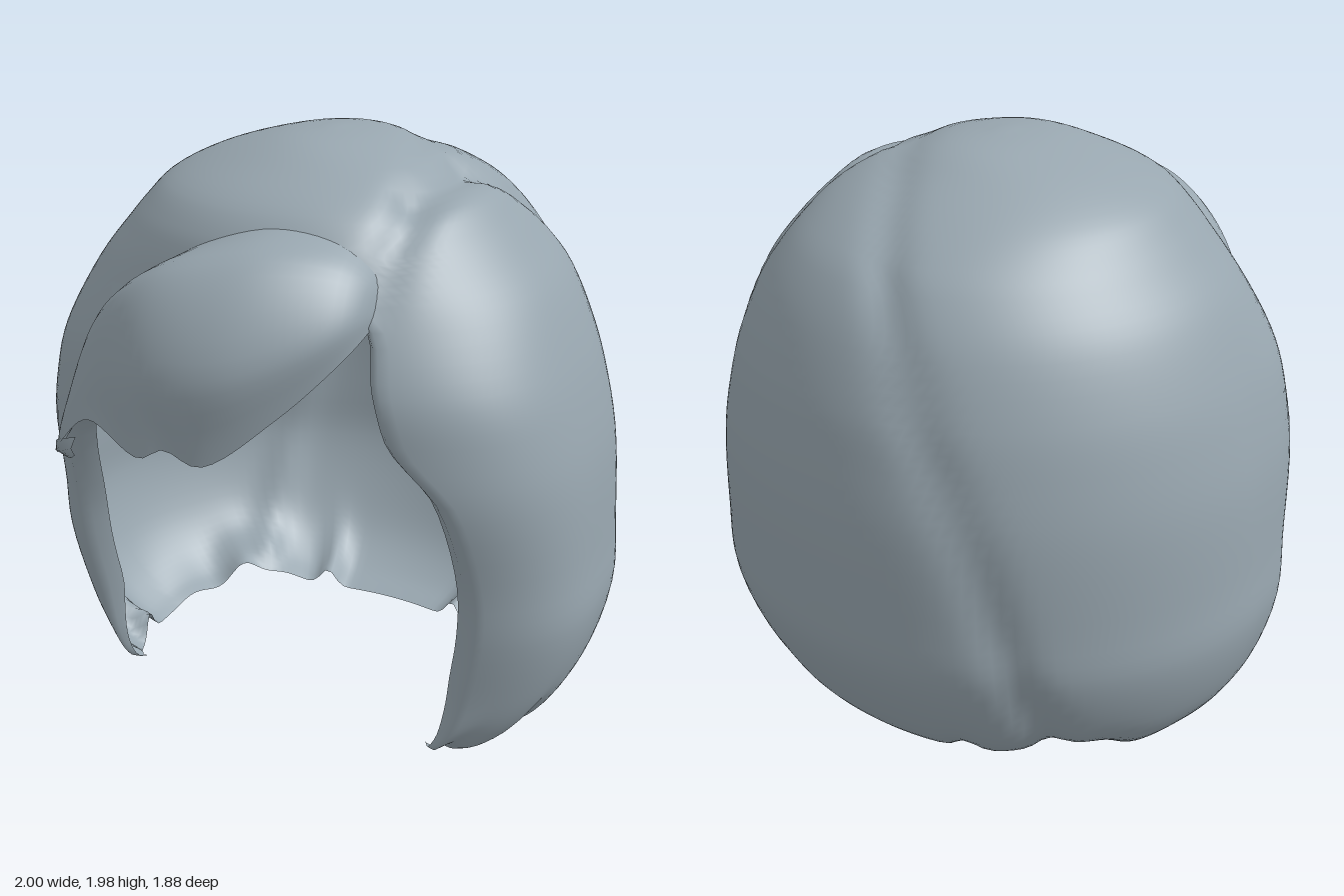
import * as THREE from 'three';
import { mergeVertices } from 'three/addons/utils/BufferGeometryUtils.js';

const V = (x, y, z) => new THREE.Vector3(x, y, z);
const curve = (pts) => new THREE.CatmullRomCurve3(pts.map((p) => V(...p)));

// Smooth sheet from a rule giving a point for each row (downwards) and column
function sheet(rows, cols, pointAt) {
  const pos = [], index = [];
  for (let i = 0; i <= rows; i++) {
    for (let j = 0; j <= cols; j++) {
      pos.push(...pointAt(i / rows, j / cols, j).toArray());
      if (i === rows || j === cols) continue;
      const a = i * (cols + 1) + j, b = a + cols + 1;
      index.push(a, b, a + 1, a + 1, b, b + 1);
    }
  }
  let g = new THREE.BufferGeometry();
  g.setAttribute('position', new THREE.Float32BufferAttribute(pos, 3));
  g.setIndex(index);
  g = mergeVertices(g, 1e-4);
  g.computeVertexNormals();
  return g;
}

// Rings of the hair: height, half width, back depth, front depth, opening angle left and right
const RINGS = [
  [1.98, 0, 0, 0, 0, 0], [1.96, 0.17, 0.22, 0.2, 0, 0], [1.9, 0.38, 0.38, 0.36, 0, 0],
  [1.82, 0.54, 0.54, 0.51, 0, 0], [1.74, 0.62, 0.66, 0.58, 0, 0], [1.67, 0.68, 0.73, 0.61, 0.28, 0.02],
  [1.54, 0.78, 0.81, 0.64, 0.53, 0.15], [1.35, 0.87, 0.88, 0.68, 0.484, 0.32], [1.2, 0.92, 0.91, 0.68, 0.49, 0.42],
  [1.0, 0.965, 0.935, 0.67, 0.68, 0.68], [0.7, 0.99, 0.935, 0.59, 0.74, 0.74], [0.5, 1, 0.92, 0.555, 0.72, 0.72],
  [0.27, 0.94, 0.83, 0.53, 0.72, 0.72], [0.13, 0.86, 0.74, 0.54, 0.755, 0.755], [0.04, 0.77, 0.62, 0.54, 0.8, 0.8],
  [0, 0.7, 0.5, 0.52, 0.87, 0.87],
];
const sides = curve(RINGS.map(([y, w, b]) => [w, y, b]));
const fronts = curve(RINGS.map(([y, , , f]) => [f, y, 0]));
const openings = curve(RINGS.map(([y, , , , l, r]) => [l, y, r]));

// Partings pressed into the surface: points are x, y, z, depth
const GROOVES = [
  // edge of the left side lock
  [[0.43, 1.62, 0.54, 0.02], [0.41, 1.82, 0.25, 0.06], [0.42, 1.86, -0.1, 0.06], [0.56, 1.7, -0.38, 0.035],
    [0.68, 1.45, -0.56, 0.02], [0.78, 1.1, -0.63, 0.01], [0.8, 0.6, -0.62, 0.02], [0.77, 0.25, -0.52, 0.05],
    [0.62, 0.04, -0.38, 0.06]],
  // edge of the main lock, from the crown across the back
  [[0.41, 1.84, 0.25, 0.02], [0.3, 1.92, -0.1, 0.015], [0.1, 1.87, -0.42, 0.015], [-0.08, 1.7, -0.69, 0.025],
    [-0.3, 1.35, -0.83, 0.02], [-0.48, 0.95, -0.81, 0.02], [-0.6, 0.4, -0.7, 0.035], [-0.56, 0.05, -0.42, 0.06]],
];
const GROOVE_WIDTH = 0.065;
const segments = GROOVES.flatMap((path) => path.slice(1).map(([x, y, z, d], i) => {
  const [px, py, pz, pd] = path[i];
  return { line: new THREE.Line3(V(px, py, pz), V(x, y, z)), from: pd, to: d };
}));

// Notches between locks along the hem: angle from the front, height, width
const NOTCHES = [[0.9, 0.05, 0.12], [1.33, 0.09, 0.07], [1.8, 0.03, 0.2], [2.2, 0.1, 0.13], [2.45, 0.05, 0.16], [2.74, 0.07, 0.06]];

function hairPoint(t, u) {
  const s = sides.getPoint(t), f = fronts.getPoint(t), o = openings.getPoint(t);
  const a = THREE.MathUtils.lerp(Math.max(0, o.x), 2 * Math.PI - Math.max(0, o.z), u);
  const c = Math.cos(a), sn = Math.sin(a);
  // the front quarters are squarer than the round back and crown
  const q = c > 0 ? THREE.MathUtils.lerp(0.7, 1, THREE.MathUtils.smoothstep(s.y, 1.2, 1.8)) : 1;
  const p = V(s.x * Math.sign(sn) * Math.abs(sn) ** q, s.y, c > 0 ? f.x * c ** q : s.z * c);
  const fromFront = Math.min(a, 2 * Math.PI - a);
  const hem = Math.max(0, 1 - p.y / 0.35) ** 2;
  for (const [at, h, w] of NOTCHES) p.y += hem * h * Math.exp(-(((fromFront - at) / w) ** 2));
  const near = V(0, 0, 0);
  let dent = 0;
  for (const { line, from, to } of segments) {
    const k = line.closestPointToPointParameter(p, true);
    line.at(k, near);
    const depth = THREE.MathUtils.lerp(from, to, k);
    dent = Math.max(dent, depth * Math.exp(-((near.distanceTo(p) / GROOVE_WIDTH) ** 2)));
  }
  return p.add(V(-p.x, 0.9 - p.y, -p.z).normalize().multiplyScalar(dent));
}

// Outer hair, with the first and last columns curled inwards at the face
function hairGeometry() {
  const cols = 124, curl = 2;
  return sheet(64, cols, (t, v, j) => {
    const over = Math.max(0, curl - j, j - (cols - curl)) / curl;
    const u = THREE.MathUtils.clamp((j - curl) / (cols - 2 * curl), 0, 1);
    const p = hairPoint(t, u);
    if (over) {
      const o = openings.getPoint(t);
      const angle = Math.max(0, j < curl ? o.x : o.z);
      const k = over * Math.min(1, angle / 0.7) * Math.min(1, 0.3 + p.y * 2);
      p.x *= 1 - 0.11 * k;
      p.z -= 0.05 * k * k;
    }
    return p;
  });
}

// Swept fringe, lofted through its upper edge, its fullest line and its lower edge
function fringeGeometry() {
  const upper = curve([[-0.72, 0.94, 0.57], [-0.6, 1.14, 0.55], [-0.4, 1.49, 0.54], [-0.2, 1.68, 0.53],
    [0.07, 1.79, 0.5], [0.3, 1.76, 0.45], [0.4, 1.67, 0.45], [0.43, 1.58, 0.48]]);
  const full = curve([[-0.71, 0.94, 0.62], [-0.58, 1.12, 0.73], [-0.38, 1.34, 0.83], [-0.12, 1.42, 0.93],
    [0.12, 1.45, 0.905], [0.33, 1.52, 0.76], [0.41, 1.56, 0.64], [0.43, 1.56, 0.51]]);
  const lower = curve([[-0.7, 0.93, 0.63], [-0.55, 1.07, 0.77], [-0.37, 1.2, 0.86], [-0.14, 1.15, 0.93],
    [-0.06, 1.19, 0.92], [0.05, 1.15, 0.9], [0.25, 1.3, 0.8], [0.4, 1.47, 0.65], [0.43, 1.54, 0.52]]);
  return sheet(16, 48, (t, v) => {
    const mid = full.getPointAt(v), a = upper.getPointAt(v), b = lower.getPointAt(v);
    const shoulder = a.clone().lerp(mid, 0.5).add(V(0, 0.12, 0.06).multiplyScalar(Math.sin(Math.PI * v)));
    return new THREE.CatmullRomCurve3([a, shoulder, mid, b]).getPoint(t);
  });
}

// Little flick at the end of the fringe
function flickGeometry() {
  const top = curve([[-0.71, 0.95, 0.61], [-0.62, 1.03, 0.72], [-0.52, 1.07, 0.75]]);
  const bottom = curve([[-0.7, 0.93, 0.62], [-0.61, 0.95, 0.68], [-0.52, 1.01, 0.76]]);
  return sheet(2, 8, (t, v) => top.getPoint(v).lerp(bottom.getPoint(v), t)
    .add(V(0, 0, 0.02 * Math.sin(Math.PI * t))));
}

export function createModel() {
  const material = new THREE.MeshStandardMaterial({ color: 0x98a6af, side: THREE.DoubleSide });
  const group = new THREE.Group();
  group.name = 'hair';
  const parts = { bobHair: hairGeometry(), sweptFringe: fringeGeometry(), fringeFlick: flickGeometry() };
  for (const [name, geometry] of Object.entries(parts)) {
    const mesh = new THREE.Mesh(geometry, material);
    mesh.name = name;
    group.add(mesh);
  }
  return group;
}
